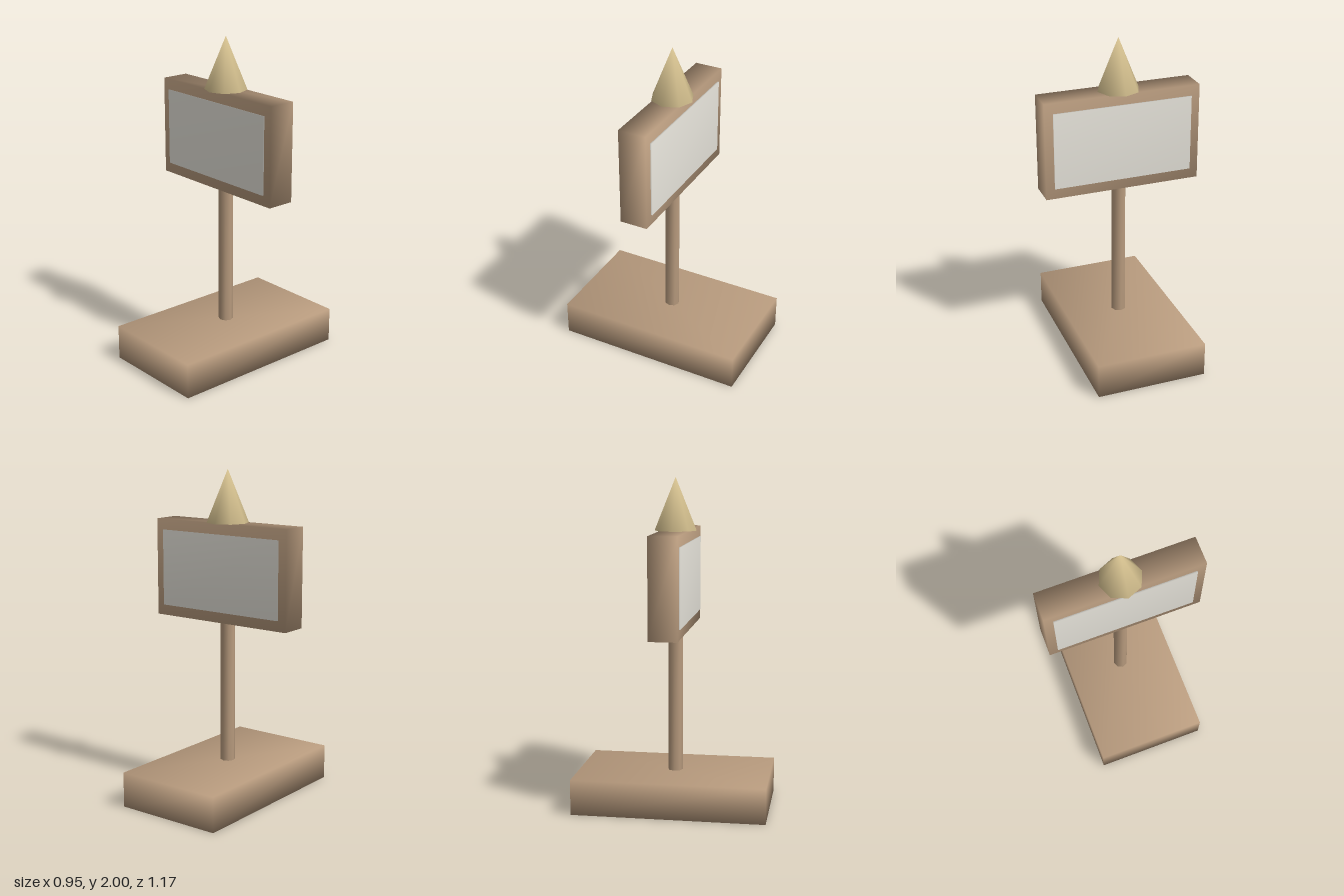
import * as THREE from 'three';
import { mergeVertices } from 'three/addons/utils/BufferGeometryUtils.js';

const wood = new THREE.MeshStandardMaterial({ color: 0xb89b7e });
const paper = new THREE.MeshStandardMaterial({ color: 0xe8e5dc });
const brass = new THREE.MeshStandardMaterial({ color: 0xdcc794 });

// Weld shared corners so the shading runs smoothly over the edges
function weld(geometry) {
  geometry.deleteAttribute('normal');
  geometry.deleteAttribute('uv');
  const welded = mergeVertices(geometry, 1e-4);
  welded.computeVertexNormals();
  return welded;
}

export function createModel() {
  const model = new THREE.Group();
  model.name = 'signPost';

  const add = (name, geometry, material, y, z = 0) => {
    const mesh = new THREE.Mesh(weld(geometry), material);
    mesh.name = name;
    mesh.position.set(0, y, z);
    model.add(mesh);
  };

  // Foot block, long from front to back
  add('base', new THREE.BoxGeometry(0.68, 0.215, 1.17), wood, 0.1075);

  // Post between the foot and the board
  add('post', new THREE.CylinderGeometry(0.045, 0.045, 0.875, 8), wood, 0.6525);

  // Sign board
  add('board', new THREE.BoxGeometry(0.955, 0.595, 0.17), wood, 1.3875);

  // Pale panels on both faces of the board
  for (const [name, side] of [['frontPanel', 1], ['backPanel', -1]]) {
    add(name, new THREE.BoxGeometry(0.85, 0.465, 0.02), paper, 1.3875, side * 0.084);
  }

  // Pointed finial on top
  add('finial', new THREE.ConeGeometry(0.127, 0.315, 8), brass, 1.8425);

  return model;
}
